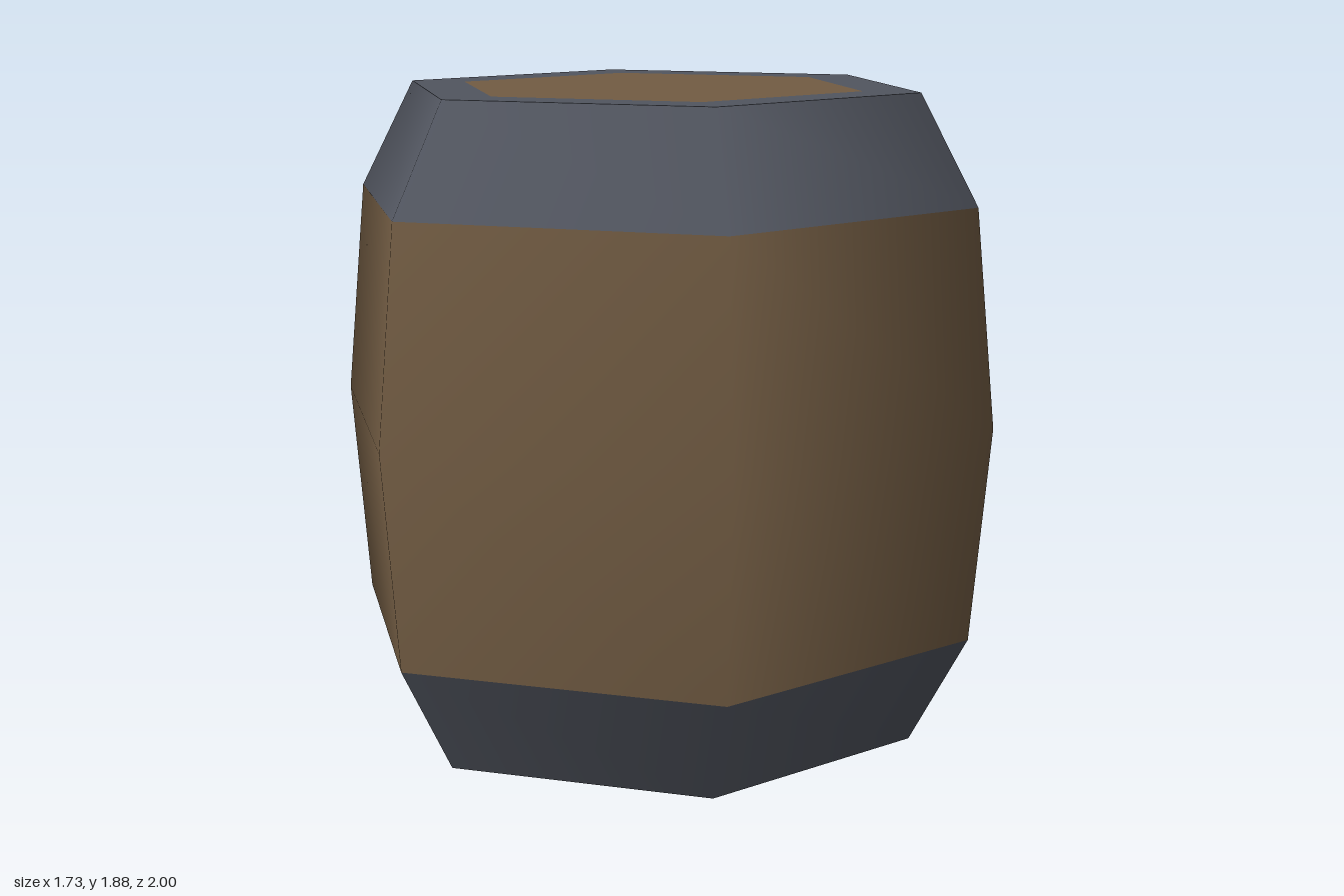
import * as THREE from 'three';

const SIDES = 6;
const HEIGHT = 1.88;
const BAND = 0.315;      // height of each metal band
const END_R = 0.773;     // radius at the two ends
const BAND_R = 0.942;    // radius where bands meet the staves
const BELLY_R = 1.0;     // widest radius, at mid height
const LID_R = 0.605;     // wooden inset of the lid

export function createModel() {
  const wood = new THREE.MeshStandardMaterial({ color: 0x725c43 });
  wood.name = 'brownWood';
  const metal = new THREE.MeshStandardMaterial({ color: 0x51555f });
  metal.name = 'greyMetal';

  const barrel = new THREE.Group();
  barrel.name = 'barrel';
  const add = (name, geometry, material) => {
    const mesh = new THREE.Mesh(geometry, material);
    mesh.name = name;
    barrel.add(mesh);
  };

  // six-sided wall from [radius, height] pairs, bottom to top, smooth around
  const wall = (...profile) =>
    new THREE.LatheGeometry(profile.map(([r, y]) => new THREE.Vector2(r, y)), SIDES);

  // bulging wooden body between two tapering metal bands
  add('bottomBand', wall([END_R, 0], [BAND_R, BAND]), metal);
  add('staves', wall([BAND_R, BAND], [BELLY_R, HEIGHT / 2], [BAND_R, HEIGHT - BAND]), wood);
  add('topBand', wall([BAND_R, HEIGHT - BAND], [END_R, HEIGHT]), metal);

  // flat lid: metal rim around a wooden inset
  add('lidRim', new THREE.RingGeometry(LID_R, END_R, SIDES, 1, Math.PI / 2)
    .rotateX(-Math.PI / 2).translate(0, HEIGHT, 0), metal);
  add('lid', new THREE.CircleGeometry(LID_R, SIDES, Math.PI / 2)
    .rotateX(-Math.PI / 2).translate(0, HEIGHT, 0), wood);

  // wooden underside
  add('base', new THREE.CircleGeometry(END_R, SIDES, Math.PI / 2).rotateX(Math.PI / 2), wood);

  return barrel;
}
